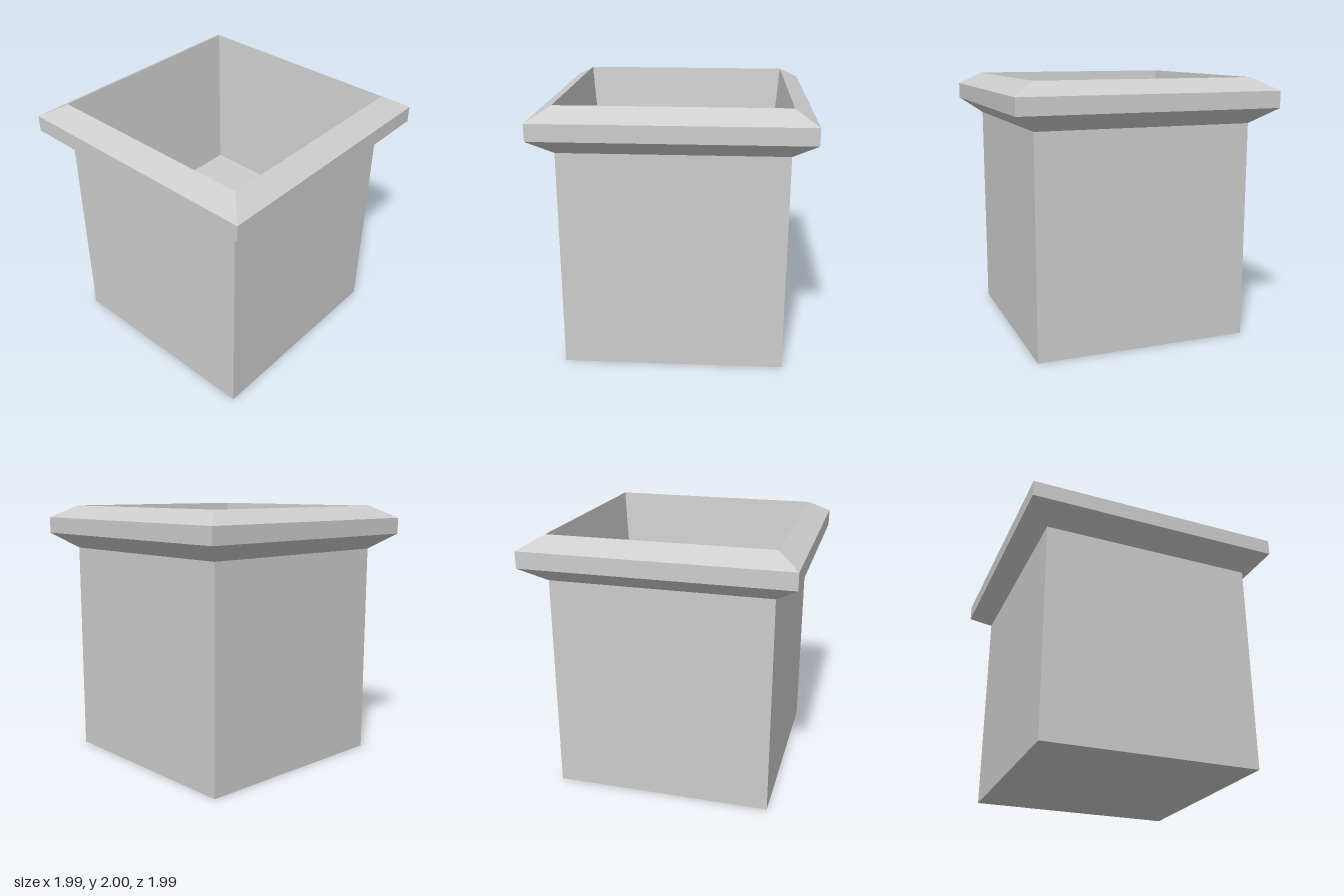
import * as THREE from 'three';

// Sweeps a profile of [half width, height] around a square
function squareSweep(name, profile, material) {
  const points = profile.map(([w, y]) => new THREE.Vector2(w * Math.SQRT2, y));
  const geometry = new THREE.LatheGeometry(points, 4, Math.PI / 4).toNonIndexed();
  geometry.computeVertexNormals();
  const mesh = new THREE.Mesh(geometry, material);
  mesh.name = name;
  return mesh;
}

export function createModel() {
  const stone = new THREE.MeshStandardMaterial({ color: 0xcccccc, flatShading: true });
  stone.name = 'light grey';

  const planter = new THREE.Group();
  planter.name = 'squarePlanter';

  // Closed underside and straight outer walls
  planter.add(squareSweep('body', [[0, 0], [0.828, 0], [0.828, 1.66]], stone));

  // Flared rim with bevels below and above
  planter.add(squareSweep('rim', [[0.828, 1.66], [0.993, 1.78], [0.993, 1.905], [0.83, 2]], stone));

  // Tapering inner walls down to the floor
  planter.add(squareSweep('innerWalls', [[0.83, 2], [0.735, 0.85]], stone));
  planter.add(squareSweep('floor', [[0.735, 0.85], [0, 0.85]], stone));

  return planter;
}
